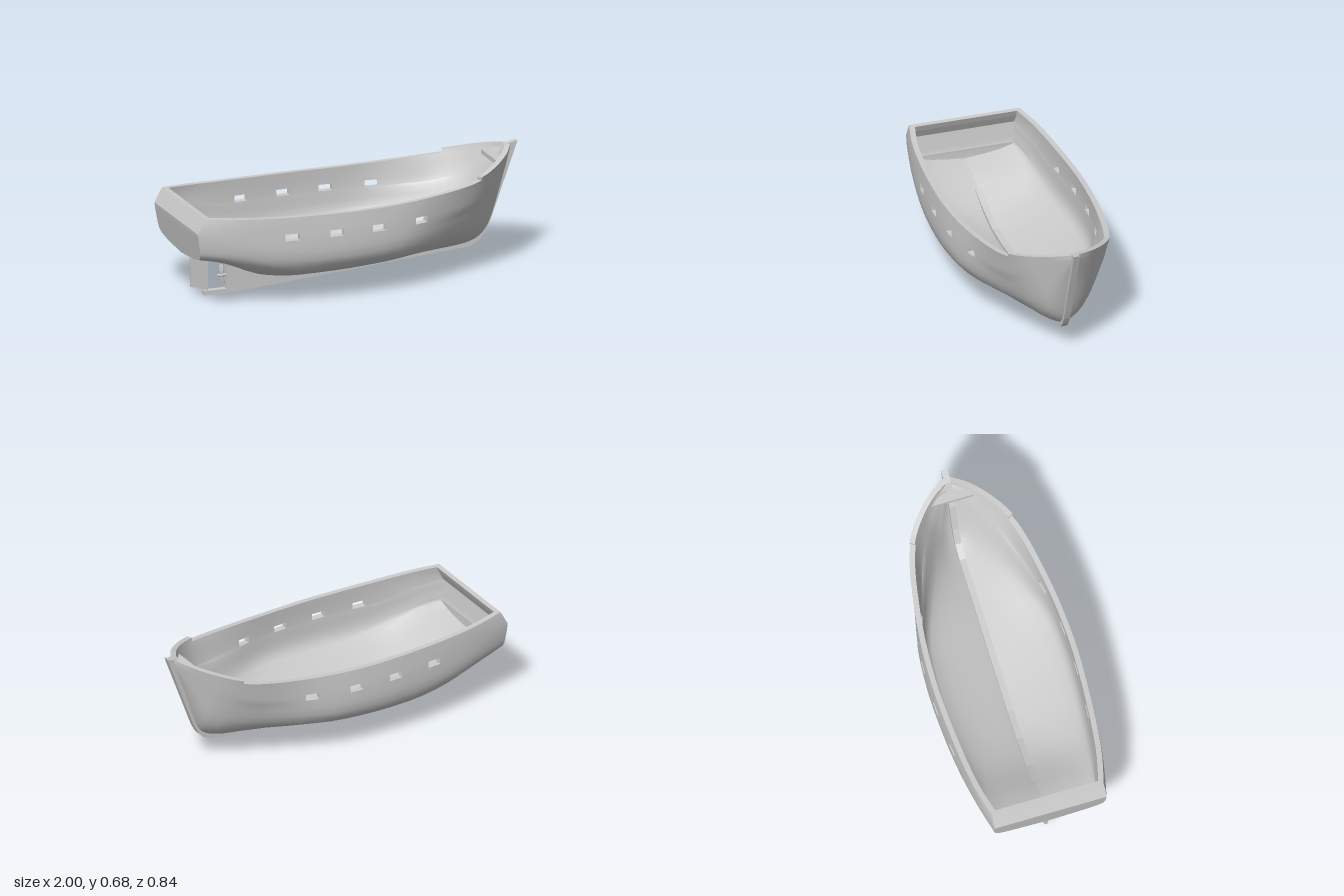
import * as THREE from 'three';

const material = new THREE.MeshStandardMaterial({ color: 0xcccccc, side: THREE.DoubleSide });
const { clamp, lerp, smoothstep } = THREE.MathUtils;

// Smooth interpolation through [x, value] pairs
function interp(pts, x) {
  let i = 0;
  while (i < pts.length - 2 && x > pts[i + 1][0]) i++;
  const slope = (k) => {
    const a = pts[Math.max(k - 1, 0)], b = pts[Math.min(k + 1, pts.length - 1)];
    return (b[1] - a[1]) / (b[0] - a[0]);
  };
  const [x0, y0] = pts[i], [x1, y1] = pts[i + 1];
  const h = x1 - x0, t = clamp((x - x0) / h, 0, 1), t2 = t * t, t3 = t2 * t;
  return (2 * t3 - 3 * t2 + 1) * y0 + (t3 - 2 * t2 + t) * h * slope(i)
    + (3 * t2 - 2 * t3) * y1 + (t3 - t2) * h * slope(i + 1);
}

// Hull lines: bottom, sheer and half breadth along the length
const bottom = [[-1, .258], [-.9, .24], [-.8, .21], [-.7, .165], [-.6, .115], [-.42, .066], [-.25, .056], [0, .066],
  [.35, .09], [.65, .112], [.72, .125], [.77, .15], [.81, .2], [.85, .31], [.9, .465], [.96, .63]];
const sheer = [[-1, .537], [-.6, .518], [-.2, .512], [.1, .514], [.4, .53], [.68, .56], [.85, .605], [.96, .643]];
const breadth = [[-1, .32], [-.8, .363], [-.5, .402], [-.2, .421], [0, .418], [.2, .401], [.4, .368], [.55, .335],
  [.68, .29], [.8, .21], [.9, .107], [.96, .012]];

// Section rows: height fraction, then width fraction at stern, midship and bow
const rowF = [0, .03, .07, .13, .2, .28, .36, .45, .55, .63, .705, .79, .89, 1];
const sternZ = [0, .3, .62, .86, .945, .975, .985, .995, 1, 1, 1, 1, 1, .99];
const midZ = [0, .1, .25, .47, .69, .865, .945, .985, 1, 1, 1, .995, .987, .976];
const bowZ = [0, .12, .24, .36, .46, .54, .61, .67, .735, .785, .83, .885, .94, 1];
const cols = [-1, -.975, -.9, -.82, -.74, -.66, -.58, -.515, -.435, -.35, -.26, -.18, -.1, -.01, .07, .16, .255, .33,
  .41, .49, .56, .62, .68, .72, .75, .78, .8, .82, .84, .86, .88, .9, .915, .93, .945, .957];
const portCols = [-.515, -.26, -.01, .255].map((x) => cols.indexOf(x));
const portRow = 10, portY = { 10: .384, 11: .422 }, top = rowF.length - 1;
const step = cols.indexOf(.68), lip = top + 1; // raised bow rail starts here, one row higher
// Planking thickness per row, heaviest at the bilge
const thickness = [.03, .03, .033, .037, .041, .043, .043, .042, .041, .04, .037, .034, .032, .03];
const isPort = (c, r) => r === portRow && portCols.includes(c);

function hullPoint(x, r) {
  const f = rowF[r];
  let y = lerp(interp(bottom, x), interp(sheer, x), f);
  // Level the port rows along the middle
  if (portY[r]) y = lerp(portY[r] + .03 * x * Math.max(x, 0), y, smoothstep(Math.abs(x), .53, .75));
  const toStern = smoothstep(-x, .25, .95), toBow = smoothstep(x, .1, .85);
  const w = midZ[r] + (sternZ[r] - midZ[r]) * toStern + (bowZ[r] - midZ[r]) * toBow;
  // Raked, knuckled transom
  const rake = f < .7 ? .03 * (1 - f / .7) : .045 * (f - .7) / .3;
  return new THREE.Vector3(x + rake * clamp((-.7 - x) / .3, 0, 1), y, interp(breadth, x) * w);
}

// Outer grid, and an inner grid set in along the surface normal
const outer = cols.map((x) => rowF.map((f, r) => hullPoint(x, r)));
const inner = cols.map((x, c) => rowF.map((f, r) => {
  const p = outer[c][r].clone();
  const dx = hullPoint(Math.min(x + .008, .96), r).sub(hullPoint(x - .008, r));
  const dy = outer[c][Math.min(r + 1, top)].clone().sub(outer[c][Math.max(r - 1, 0)]);
  const n = dx.cross(dy);
  if (r === top) n.y = 0;
  p.addScaledVector(n.normalize(), -thickness[r]);
  p.z = r === 0 ? 0 : Math.max(p.z, 0);
  return p;
}));
inner[0] = inner[1].map((p) => p.clone());
// Lip row continues the flare upward for the bow rail
outer.forEach((col, c) => {
  const d = col[top].clone().sub(col[top - 1]);
  d.multiplyScalar(.02 / Math.max(d.y, .02)).setY(.02);
  for (const grid of [outer, inner]) {
    const p = grid[c][top].clone().add(d);
    p.z = Math.max(p.z, 0);
    grid[c].push(p);
  }
});

function toMesh(name, positions, index) {
  const g = new THREE.BufferGeometry();
  g.setAttribute('position', new THREE.Float32BufferAttribute(positions, 3));
  if (index) g.setIndex(index);
  g.computeVertexNormals();
  const m = new THREE.Mesh(g, material);
  m.name = name;
  return m;
}

// Smooth skin over rows r0 to r1 of a grid
function skin(name, grid, side, inward, r0, r1) {
  const pos = [], idx = [], n = lip + 1;
  grid.forEach((col) => col.forEach((p) => pos.push(p.x, p.y, p.z * side)));
  for (let c = 0; c < cols.length - 1; c++) for (let r = r0; r < r1; r++) {
    if (isPort(c, r) || (r === top && c < step)) continue;
    const a = c * n + r, b = a + n;
    if ((side > 0) !== inward) idx.push(a, b, b + 1, a, b + 1, a + 1);
    else idx.push(a, b + 1, b, a, a + 1, b + 1);
  }
  return toMesh(name, pos, idx);
}

const mirror = (p) => new THREE.Vector3(p.x, p.y, -p.z);

function quads(name, list) {
  const pos = [];
  for (const [a, b, c, d] of list) for (const p of [a, b, c, a, c, d]) pos.push(p.x, p.y, p.z);
  return toMesh(name, pos);
}

// Side-profile plate, centred on z = 0
function plate(name, pts, width) {
  const s = new THREE.Shape(pts.map(([x, y]) => new THREE.Vector2(x, y)));
  const g = new THREE.ExtrudeGeometry(s, { depth: width, bevelEnabled: false });
  g.translate(0, 0, -width / 2);
  const m = new THREE.Mesh(g, material);
  m.name = name;
  return m;
}

export function createModel() {
  const model = new THREE.Group();
  model.name = 'boatHull';

  for (const side of [1, -1]) {
    const label = side > 0 ? 'left' : 'right';
    model.add(skin(label + 'OuterPlanking', outer, side, false, 0, lip));
    model.add(skin(label + 'InnerPlanking', inner, side, true, 0, portRow));
    model.add(skin(label + 'Bulwark', inner, side, true, portRow, lip));
    const orient = (q) => (side > 0 ? q : q.map(mirror).reverse());
    // Rail cap, stepped up around the bow
    const rail = [orient([inner[step][top], outer[step][top], outer[step][lip], inner[step][lip]])];
    for (let c = 0; c < cols.length - 1; c++) {
      const r = c < step ? top : lip;
      rail.push(orient([outer[c][r], outer[c + 1][r], inner[c + 1][r], inner[c][r]]));
    }
    model.add(quads(label + 'Rail', rail));
    // Port linings
    const linings = [];
    for (const c of portCols) {
      const ring = [[c, portRow], [c + 1, portRow], [c + 1, portRow + 1], [c, portRow + 1]];
      ring.forEach(([a, b], i) => {
        const [d, e] = ring[(i + 1) % 4];
        linings.push(orient([outer[d][e], inner[d][e], inner[a][b], outer[a][b]]));
      });
    }
    model.add(quads(label + 'PortLinings', linings));
  }

  // Transom, outside, inside and cap
  const transom = [], a = outer[0], b = inner[0];
  for (let r = 0; r < top; r++) {
    transom.push([mirror(a[r]), a[r], a[r + 1], mirror(a[r + 1])]);
    transom.push([b[r], mirror(b[r]), mirror(b[r + 1]), b[r + 1]]);
  }
  transom.push([mirror(a[top]), a[top], b[top], mirror(b[top])]);
  model.add(quads('transom', transom));

  // Keel, stem, deadwood and skeg in one profile
  model.add(plate('keelAndStem', [[-.84, 0], [-.64, .003], [.69, .099], [.735, .108], [.77, .126], [.8, .157],
    [.825, .2], [.845, .25], [1, .675], [.925, .66], [.895, .6], [.84, .5], [.78, .3], [.73, .2], [.65, .16],
    [.35, .142], [0, .118], [-.25, .108], [-.42, .119], [-.6, .166], [-.71, .213], [-.71, .025], [-.84, .025]], .035));

  // Breasthook inside the bow
  const hook = plate('breasthook', [[.84, -.12], [.88, -.075], [.91, -.02], [.91, .02], [.88, .075], [.84, .12]], .025);
  hook.rotation.x = Math.PI / 2;
  hook.position.y = .59;
  model.add(hook);

  // Rudder with its stock
  model.add(plate('rudder', [[-.915, .055], [-.815, .035], [-.815, .21], [-.915, .22]], .02));
  const stock = new THREE.Mesh(new THREE.CylinderGeometry(.008, .008, .22, 12), material);
  stock.name = 'rudderStock';
  stock.position.set(-.82, .13, 0);
  model.add(stock);

  // Propeller
  const propeller = new THREE.Group();
  propeller.name = 'propeller';
  const shaft = new THREE.Mesh(new THREE.CylinderGeometry(.008, .008, .055, 12).rotateZ(Math.PI / 2), material);
  shaft.position.x = .005;
  shaft.name = 'propellerShaft';
  propeller.add(shaft);
  for (let i = 0; i < 3; i++) {
    const arm = new THREE.Group();
    const blade = new THREE.Mesh(new THREE.SphereGeometry(1, 12, 8), material);
    blade.name = 'propellerBlade';
    blade.scale.set(.003, .03, .016);
    blade.position.y = .035;
    blade.rotation.y = .6;
    arm.add(blade);
    arm.rotation.x = i * Math.PI * 2 / 3;
    propeller.add(arm);
  }
  propeller.position.set(-.735, .1, 0);
  model.add(propeller);

  return model;
}
